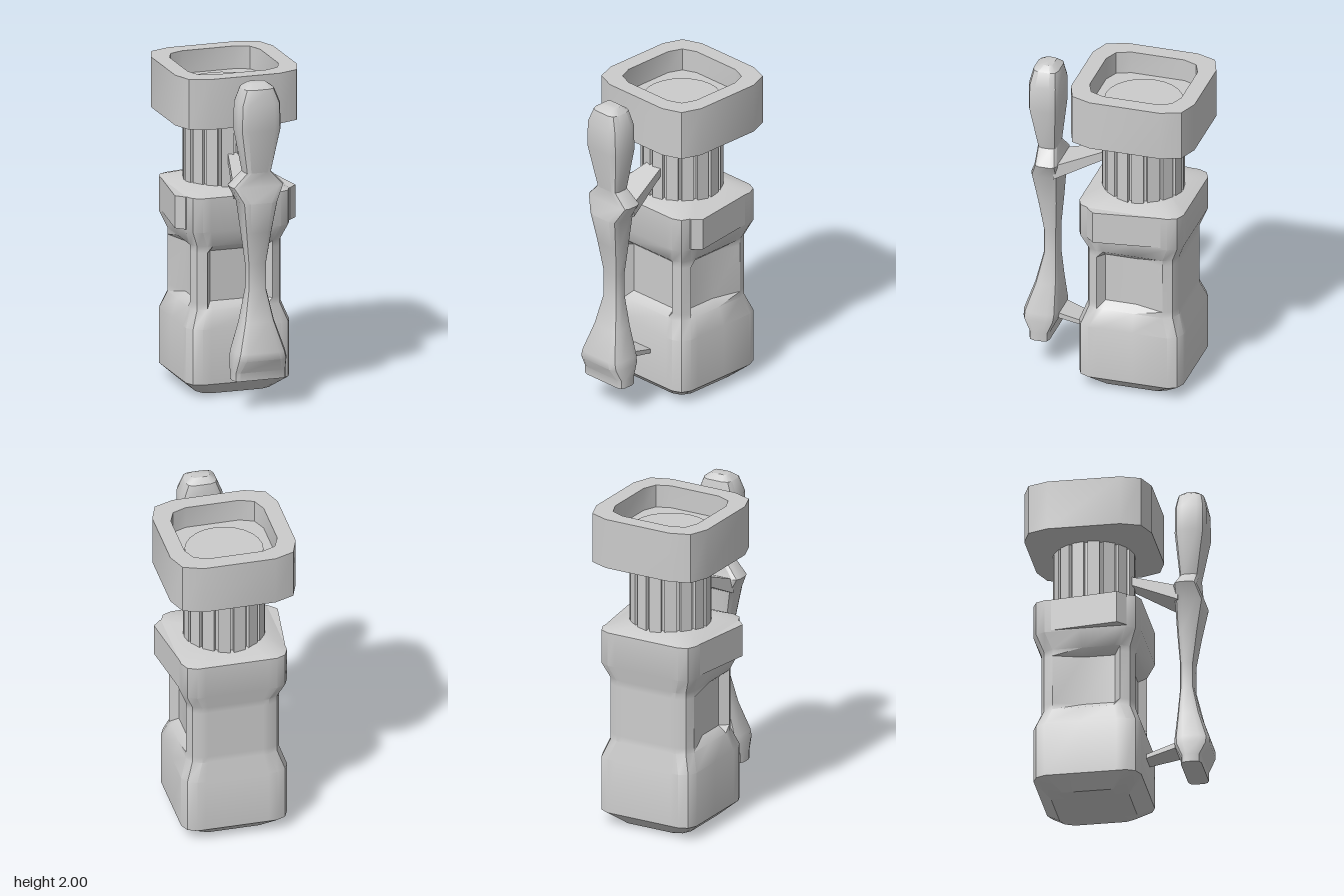
import * as THREE from 'three';
import { toCreasedNormals } from 'three/addons/utils/BufferGeometryUtils.js';

const CZ = -0.165; // z of the vertical axis shared by body, collar and head
const material = new THREE.MeshStandardMaterial({ color: 0xcccccc });

function part(name, geometry, z = 0) {
  const mesh = new THREE.Mesh(geometry, material);
  mesh.name = name;
  mesh.position.z = z;
  return mesh;
}

// Skin between rings of [x, y, z] points (counter-clockwise from above), capped at both ends
function loft(rings, crease = 0.6) {
  const pos = [];
  const n = rings[0].length;
  const tri = (a, b, c) => pos.push(...a, ...b, ...c);
  for (let i = 0; i < rings.length - 1; i++) {
    for (let j = 0; j < n; j++) {
      const k = (j + 1) % n;
      const a = rings[i][j], b = rings[i][k], c = rings[i + 1][k], d = rings[i + 1][j];
      tri(a, b, c);
      tri(a, c, d);
    }
  }
  const cap = (ring, up) => {
    const mid = [0, 1, 2].map(q => ring.reduce((s, p) => s + p[q], 0) / n);
    ring.forEach((p, j) => {
      const next = ring[(j + 1) % n];
      up ? tri(mid, p, next) : tri(mid, next, p);
    });
  };
  cap(rings[0], false);
  cap(rings[rings.length - 1], true);
  const g = new THREE.BufferGeometry();
  g.setAttribute('position', new THREE.Float32BufferAttribute(pos, 3));
  return toCreasedNormals(g, crease);
}

// Rectangle with softened corners: cut is the corner length, mid the inset of its middle point
function softRect(y, hx, hz, cut, mid, z = 0) {
  const quarter = [[hx, hz - cut], [hx - mid, hz - mid], [hx - cut, hz]];
  const flip = (sx, sz) => quarter.map(([x, v]) => [sx * x, y, z + sz * v]);
  return [...flip(1, 1).reverse(), ...flip(1, -1), ...flip(-1, -1).reverse(), ...flip(-1, 1)];
}

// Body ring: five points a side; the inner two sink by d to form the panels
function bodyRing(y, h, d = 0) {
  const ring = [];
  const e = h - 0.08, s = h / 0.285;
  const inner = [[-0.17, 0.17], [-0.165, 0.025], [-0.17, 0.17], [-0.025, 0.165]];
  inner.forEach(([u0, u1], side) => {
    const depth = h - (side === 2 ? 0 : d);
    const a = side * Math.PI / 2, co = Math.cos(a), si = Math.sin(a);
    for (const [u, v] of [[-e, h], [u0 * s, depth], [u1 * s, depth], [e, h], [h - 0.025, h - 0.025]])
      ring.push([u * co + v * si, y, v * co - u * si]);
  });
  return ring;
}

// Ribbed drum outline, extruded upwards
function collarGeometry() {
  const shape = new THREE.Shape();
  const ribs = 16;
  for (let i = 0; i < ribs; i++) {
    [[0, 0.247], [0.76, 0.247], [0.8, 0.228], [0.96, 0.228]].forEach(([f, r], k) => {
      const a = (i + f) / ribs * Math.PI * 2;
      shape[i + k === 0 ? 'moveTo' : 'lineTo'](r * Math.cos(a), r * Math.sin(a));
    });
  }
  shape.closePath();
  return new THREE.ExtrudeGeometry(shape, { depth: 0.4, bevelEnabled: false })
    .rotateX(-Math.PI / 2).translate(0, 1.25, 0);
}

// Tapered flat bar running along z; each end is [z, half width, low y, high y]
function strutGeometry(back, front) {
  const g = new THREE.BoxGeometry(2, 2, 2);
  const p = g.attributes.position;
  for (let i = 0; i < p.count; i++) {
    const [z, w, lo, hi] = p.getZ(i) > 0 ? front : back;
    p.setXYZ(i, p.getX(i) * w, p.getY(i) > 0 ? hi : lo, z);
  }
  g.computeVertexNormals();
  return g;
}

// Side wedge: thick at the front, fading out to the back
function wedgeGeometry(side) {
  const outline = [[0.28, 0.085], [0.33, 0.085], [0.38, 0.035], [0.325, -0.37], [0.28, -0.37]];
  const shape = new THREE.Shape(outline.map(([x, z]) => new THREE.Vector2(side * x, -z)));
  return new THREE.ExtrudeGeometry(shape, { depth: 0.2, bevelEnabled: false })
    .rotateX(-Math.PI / 2).translate(0, 1.03, 0);
}

export function createModel() {
  const model = new THREE.Group();

  // Body with waist, sunken panels and sloping shoulder
  model.add(part('body', loft([
    bodyRing(0, 0.235), bodyRing(0.08, 0.325), bodyRing(0.42, 0.325), bodyRing(0.53, 0.285),
    bodyRing(0.57, 0.285, 0.05), bodyRing(0.88, 0.285, 0.05), bodyRing(0.92, 0.285),
    bodyRing(1.02, 0.325), bodyRing(1.23, 0.325), bodyRing(1.27, 0.22),
  ]), CZ));

  model.add(part('leftWedge', wedgeGeometry(1)), part('rightWedge', wedgeGeometry(-1)));
  model.add(part('collar', collarGeometry(), CZ));

  // Head with an open well
  model.add(part('head', loft([
    softRect(1.635, 0.25, 0.25, 0.11, 0.03), softRect(1.67, 0.385, 0.385, 0.165, 0.045),
    softRect(1.98, 0.385, 0.385, 0.165, 0.045), softRect(1.98, 0.285, 0.285, 0.12, 0.035),
    softRect(1.84, 0.285, 0.285, 0.12, 0.035),
  ], 0.5), CZ));
  const disc = new THREE.CylinderGeometry(0.235, 0.235, 0.02, 24).translate(0, 1.835, 0);
  model.add(part('wellDisc', disc, CZ));

  // Lever handle: [y, half width, back z, front z]
  const handle = [
    [0.18, 0.165, 0.38, 0.505], [0.23, 0.165, 0.38, 0.505], [0.31, 0.165, 0.34, 0.55],
    [0.355, 0.155, 0.335, 0.55], [0.53, 0.1, 0.347, 0.49], [0.72, 0.06, 0.36, 0.445],
    [0.88, 0.06, 0.36, 0.445], [1.08, 0.088, 0.345, 0.478], [1.27, 0.117, 0.335, 0.515],
    [1.365, 0.165, 0.335, 0.475], [1.45, 0.083, 0.36, 0.477], [1.72, 0.135, 0.335, 0.525],
    [1.88, 0.13, 0.335, 0.525], [1.97, 0.095, 0.35, 0.505], [2, 0.055, 0.39, 0.46],
  ];
  model.add(part('handle', loft(handle.map(([y, hx, z0, z1]) => {
    const hz = (z1 - z0) / 2, cut = 0.55 * Math.min(hx, hz);
    return softRect(y, hx, hz, cut, cut * 0.3, (z0 + z1) / 2);
  }))));

  // Struts joining the handle to the collar and body
  model.add(part('upperStrut', strutGeometry([0.04, 0.05, 1.43, 1.48], [0.36, 0.125, 1.27, 1.36])));
  model.add(part('lowerStrut', strutGeometry([0.13, 0.06, 0.26, 0.285], [0.37, 0.09, 0.32, 0.355])));
  return model;
}
